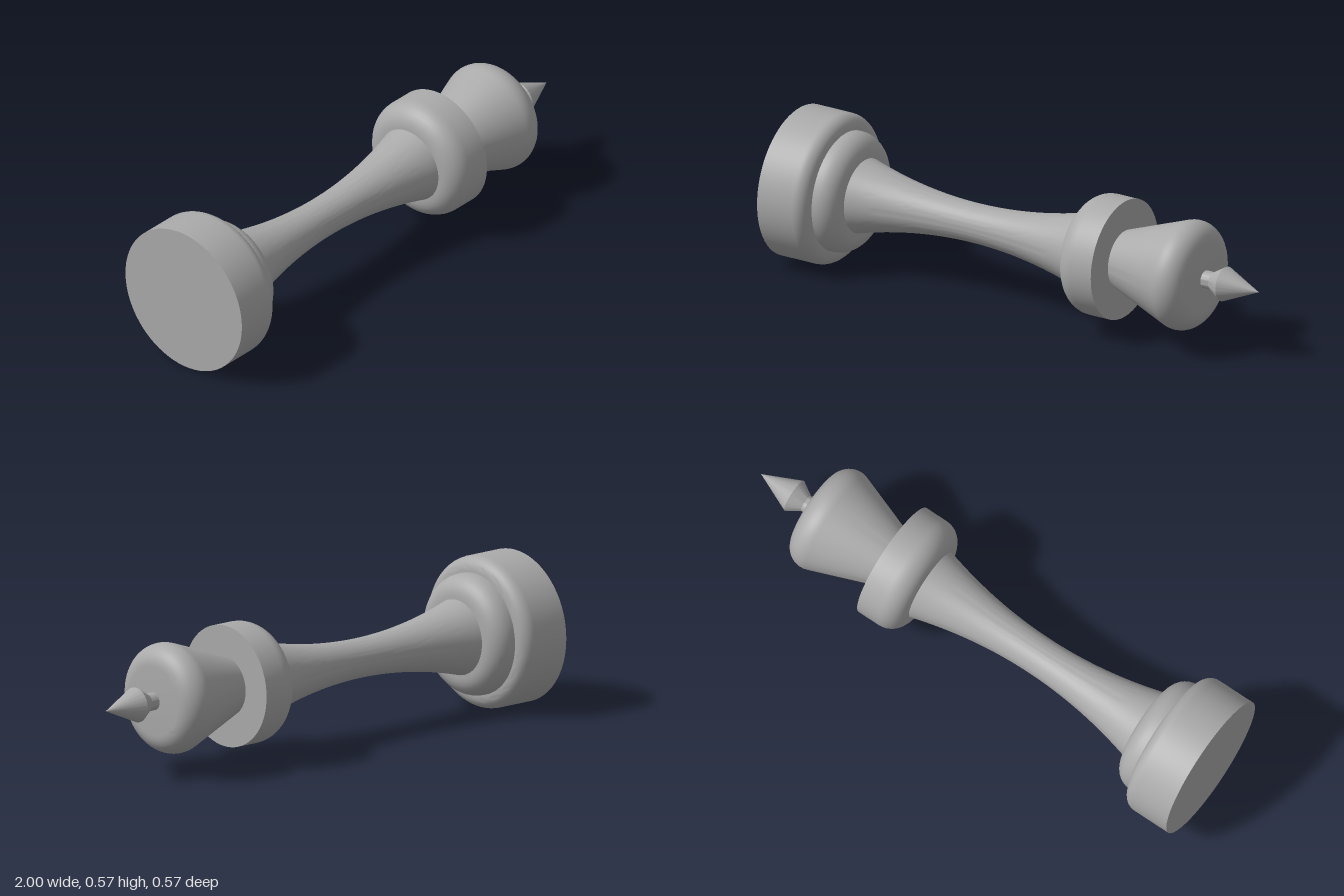
import * as THREE from 'three';
import { toCreasedNormals } from 'three/addons/utils/BufferGeometryUtils.js';

const AXIS_HEIGHT = 0.284;

// Quarter-round (or other arc) points around a centre, angles in degrees from the +radius direction
function arc(along, radius, size, from, to, steps = 8) {
  const points = [];
  for (let i = 0; i <= steps; i++) {
    const a = THREE.MathUtils.degToRad(from + (to - from) * i / steps);
    points.push([radius + size * Math.cos(a), along + size * Math.sin(a)]);
  }
  return points;
}

export function createModel() {
  const group = new THREE.Group();
  group.name = 'lyingChessPiece';
  const grey = new THREE.MeshStandardMaterial({ color: 0xaaaaaa });
  grey.name = 'grey';

  // Turned part: profile of [radius, position along x]
  function turned(name, profile) {
    const points = profile.map(([r, x]) => new THREE.Vector2(r, x));
    const geometry = toCreasedNormals(new THREE.LatheGeometry(points, 72), 0.55);
    geometry.rotateZ(-Math.PI / 2);
    const mesh = new THREE.Mesh(geometry, grey);
    mesh.name = name;
    mesh.position.y = AXIS_HEIGHT;
    group.add(mesh);
  }

  // Foot disc with a rounded inner edge
  turned('base', [[0, -1], [0.284, -1], ...arc(-0.85, 0.234, 0.05, 0, 90), [0, -0.8]]);

  // Smaller rounded ring on the foot
  turned('baseRing', [[0.227, -0.81], ...arc(-0.79, 0.152, 0.075, 0, 90), [0, -0.715]]);

  // Waisted shaft, a shallow parabola
  const shaft = [];
  for (let i = 0; i <= 32; i++) {
    const t = i / 16 - 1;
    shaft.push([0.073 + 0.069 * t * t, -0.235 + 0.485 * t]);
  }
  turned('shaft', shaft);

  // Collar, rounded towards the shaft and square towards the head
  turned('collar', [[0, 0.245], ...arc(0.325, 0.147, 0.08, -90, 0), [0.227, 0.415], [0, 0.415]]);

  // Flared head with a rounded rim
  turned('head', [[0.11, 0.41], ...arc(0.69, 0.13, 0.076, -20, 90, 12), [0, 0.766]]);

  // Finial stem and pointed tip
  turned('finialStem', [[0.033, 0.76], [0.033, 0.8]]);
  turned('finialTip', [[0.033, 0.8], [0.065, 0.852], [0, 1]]);

  return group;
}
